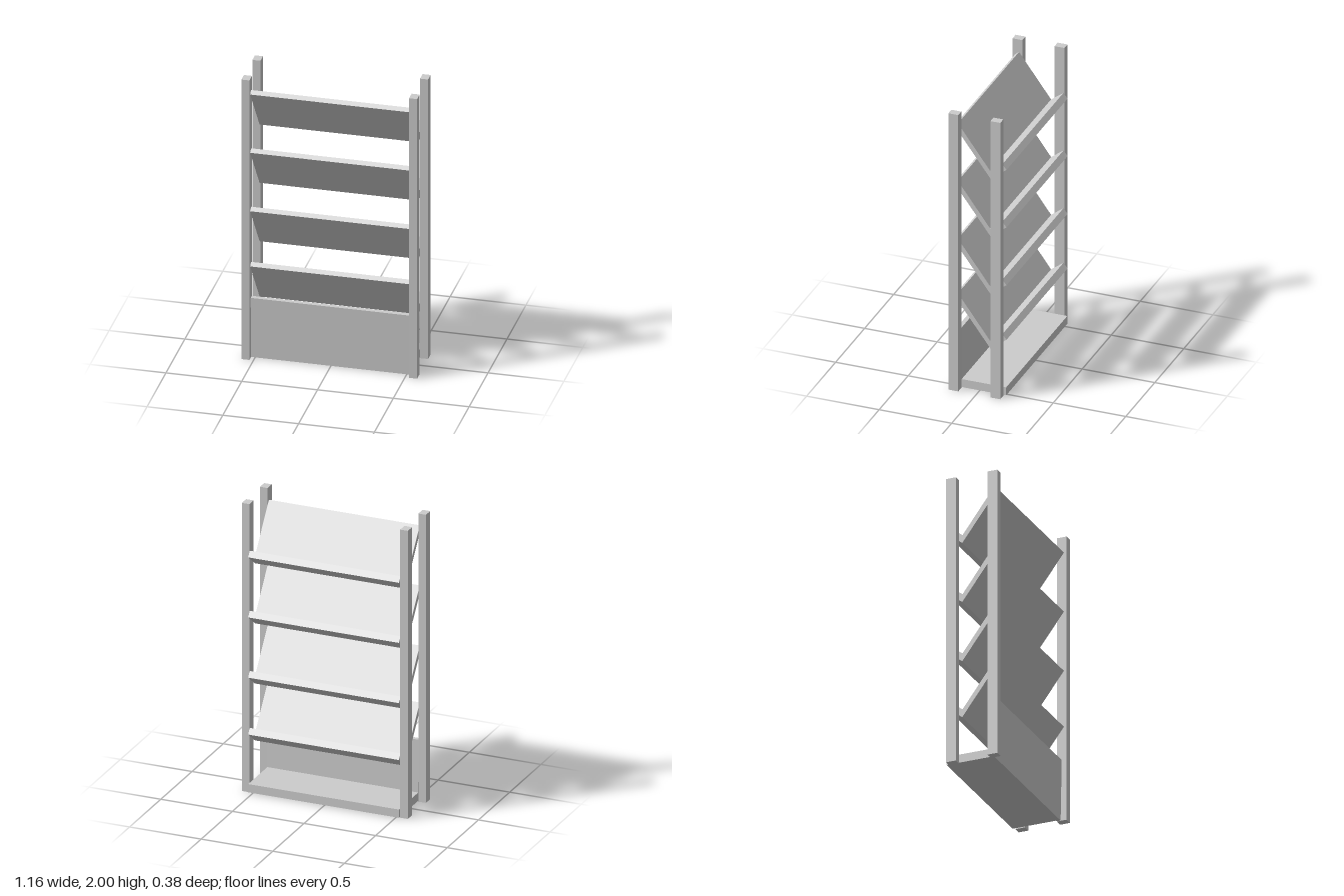
import * as THREE from 'three';

const material = new THREE.MeshStandardMaterial({ color: 0xcccccc, flatShading: true });

function box(name, w, h, d, x, y, z) {
  const mesh = new THREE.Mesh(new THREE.BoxGeometry(w, h, d), material);
  mesh.name = name;
  mesh.position.set(x, y, z);
  return mesh;
}

// Slanted shelf with a back lip: L-shaped (z, y) section swept across the width
function shelfGeometry(width) {
  const section = new THREE.Shape([
    [-0.077, 0], [0.172, 0.335], [0.146, 0.355],
    [-0.075, 0.055], [-0.16, 0.119], [-0.189, 0.084],
  ].map(([z, y]) => new THREE.Vector2(z, y)));
  const geometry = new THREE.ExtrudeGeometry(section, { depth: width, bevelEnabled: false });
  geometry.translate(0, 0, -width / 2);
  return geometry.rotateY(-Math.PI / 2);
}

export function createModel() {
  const group = new THREE.Group();
  group.name = 'shelfRack';
  const width = 1.053;

  // Four upright posts
  for (const side of [-1, 1]) {
    group.add(box('frontPost', 0.053, 2, 0.068, side * 0.553, 1, 0.157));
    group.add(box('backPost', 0.053, 2, 0.068, side * 0.553, 1, -0.133));
  }

  // Four slanted shelves
  const geometry = shelfGeometry(width);
  for (const y of [0.325, 0.72, 1.138, 1.555]) {
    const shelf = new THREE.Mesh(geometry, material);
    shelf.name = 'slantedShelf';
    shelf.position.y = y;
    group.add(shelf);
  }

  // Bottom board and the slightly leaning front panel
  group.add(box('baseShelf', width, 0.057, 0.315, 0, 0.0355, -0.029));
  const panel = box('frontPanel', width, 0.426, 0.03, 0, 0.215, 0.138);
  panel.rotation.x = 0.018;
  group.add(panel);

  return group;
}
